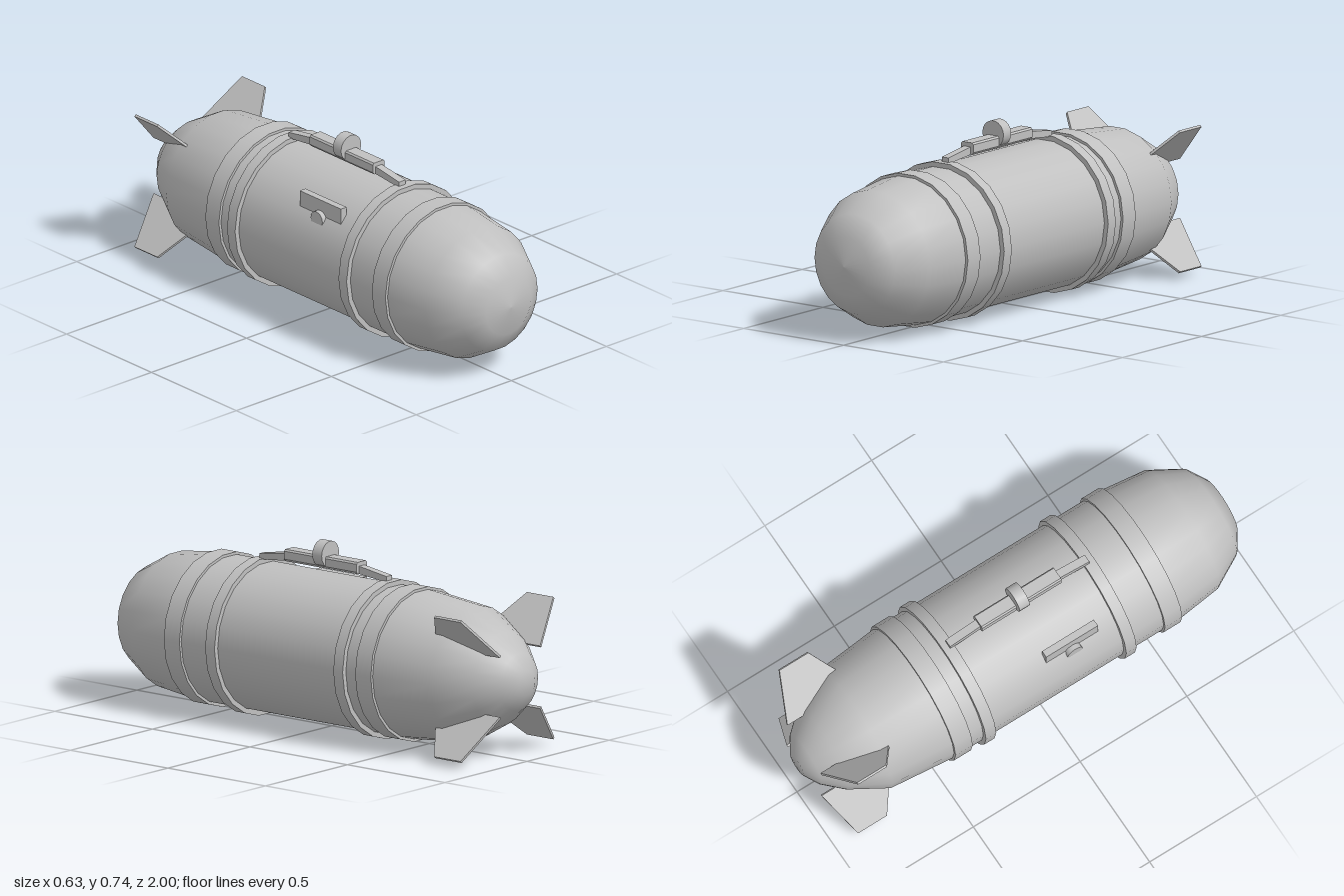
import * as THREE from 'three';

const SIDES = 22, HALF = Math.PI / SIDES, AXIS_Y = 0.3145;

export function createModel() {
  const model = new THREE.Group();
  model.name = 'finnedCanister';
  const metal = new THREE.MeshStandardMaterial({ color: 0xc0c0c0 });
  metal.name = 'grey metal';

  const add = (name, geometry, parent = model) => {
    const mesh = new THREE.Mesh(geometry, metal);
    mesh.name = name;
    parent.add(mesh);
    return mesh;
  };

  // Turned part along z from [z, radius] pairs, rear to front
  const turned = (points) => new THREE.LatheGeometry(
    points.map(([z, r]) => new THREE.Vector2(r, z)), SIDES, HALF).rotateX(Math.PI / 2);

  // Plate drawn in the z-y plane and given a thickness across x
  const plate = (points, width) => {
    const shape = new THREE.Shape(points.map(([z, y]) => new THREE.Vector2(z, y)));
    return new THREE.ExtrudeGeometry(shape, { depth: width, bevelEnabled: false })
      .translate(0, 0, -width / 2).rotateY(-Math.PI / 2);
  };

  // Hull, centred on its own axis
  const hull = new THREE.Group();
  hull.name = 'hull';
  hull.position.y = AXIS_Y;
  model.add(hull);
  add('nose', turned([[0.6, 0.297], [0.8, 0.273], [0.93, 0.201], [0.985, 0.118], [1, 0]]), hull);
  add('barrel', turned([[-0.455, 0.297], [0.6, 0.297]]), hull);
  add('tail', turned([[-1, 0], [-1, 0.05], [-0.96, 0.115], [-0.88, 0.187],
    [-0.73, 0.271], [-0.455, 0.297]]), hull);

  // Wide bands and narrow carrying straps
  for (const [name, z, r, width] of [
    ['frontBand', 0.563, 0.308, 0.08], ['rearBand', -0.418, 0.308, 0.08],
    ['frontStrap', 0.36, 0.3165, 0.048], ['rearStrap', -0.297, 0.3165, 0.048],
  ]) {
    add(name, new THREE.CylinderGeometry(r, r, width, SIDES, 1, false, HALF)
      .rotateX(Math.PI / 2).translate(0, 0, z), hull);
  }

  // Four diagonal tail fins
  for (let i = 0; i < 4; i++) {
    const fin = add('fin', plate([[-0.695, 0.272], [-0.765, 0.4], [-0.9, 0.4],
      [-0.967, 0.173], [-0.88, 0.173], [-0.75, 0.22]], 0.01), hull);
    fin.rotation.z = Math.PI / 4 + i * Math.PI / 2;
  }

  // Carrying handle: chamfered grip, two sloping arms and a round disc
  const handle = new THREE.Group();
  handle.name = 'handle';
  model.add(handle);
  const section = new THREE.Shape([[-0.024, 0.636], [0.024, 0.636], [0.031, 0.645], [0.031, 0.677],
    [0.025, 0.684], [-0.025, 0.684], [-0.031, 0.677], [-0.031, 0.645]]
    .map(([x, y]) => new THREE.Vector2(x, y)));
  add('grip', new THREE.ExtrudeGeometry(section, { depth: 0.372, bevelEnabled: false })
    .translate(0, 0, -0.153), handle);
  add('frontArm', plate([[0.2, 0.638], [0.358, 0.622], [0.358, 0.646], [0.2, 0.67]], 0.034), handle);
  add('rearArm', plate([[-0.294, 0.622], [-0.136, 0.638], [-0.136, 0.67], [-0.294, 0.646]], 0.034), handle);
  add('disc', new THREE.CylinderGeometry(0.053, 0.053, 0.048, 18, 1, false, Math.PI / 18)
    .rotateX(Math.PI / 2).translate(0, 0.69, 0.032), handle);

  // Latch on the right flank: a bar with a round knob below it
  const latch = new THREE.Group();
  latch.name = 'latch';
  model.add(latch);
  add('latchBar', new THREE.BoxGeometry(0.03, 0.065, 0.242).translate(-0.218, 0.528, 0.136), latch);
  add('latchKnob', new THREE.CylinderGeometry(0.035, 0.035, 0.06, 12)
    .rotateZ(Math.PI / 2).translate(-0.224, 0.481, 0.137), latch);

  return model;
}
